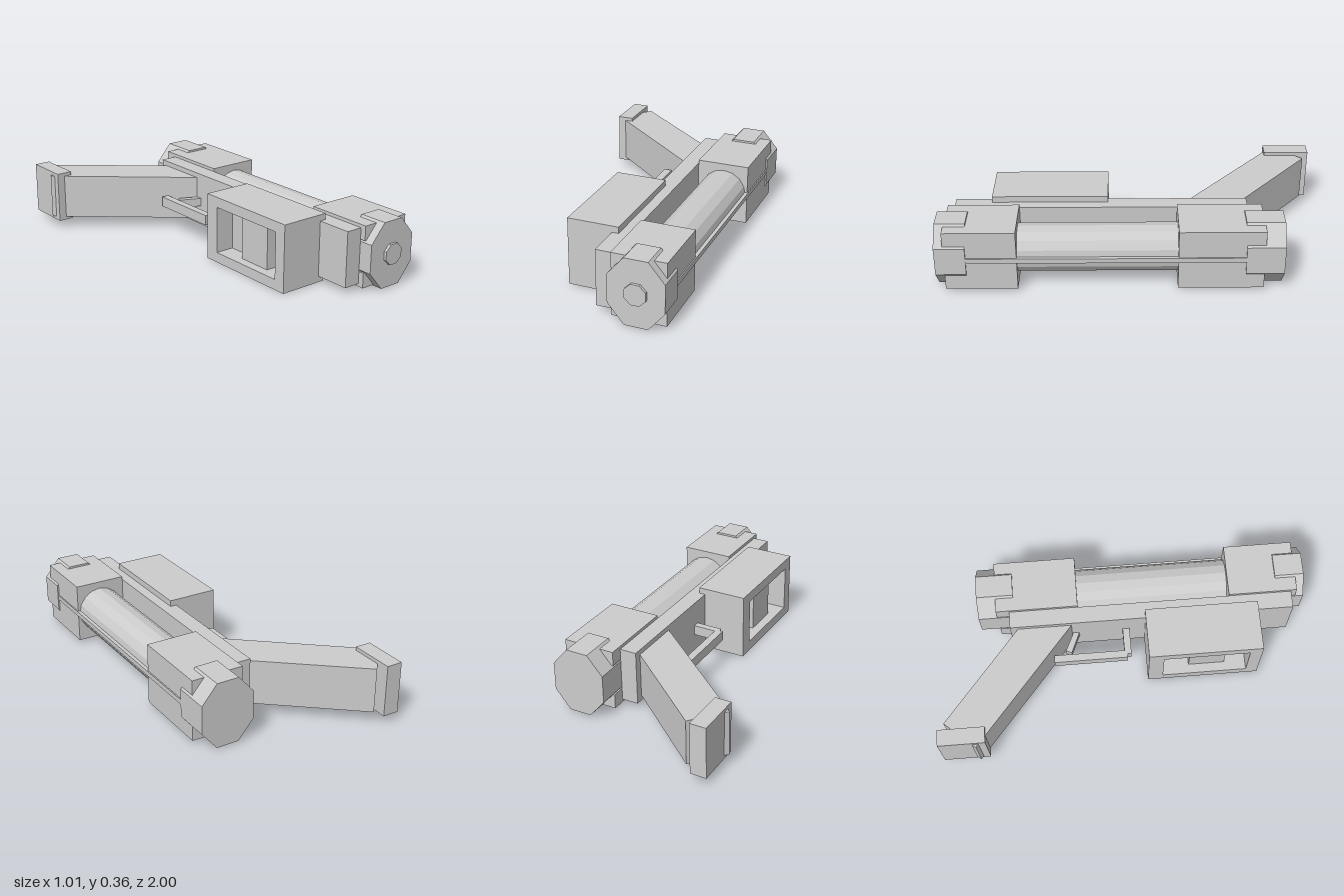
import * as THREE from 'three';

export function createModel() {
  const model = new THREE.Group();
  const grey = new THREE.MeshStandardMaterial({ color: 0xcccccc, flatShading: true });
  grey.name = 'light grey';

  const add = (name, geometry) => {
    const mesh = new THREE.Mesh(geometry, grey);
    mesh.name = name;
    model.add(mesh);
    return mesh;
  };
  // Box given by its limits on each axis
  const box = (name, x0, x1, y0, y1, z0, z1) =>
    add(name, new THREE.BoxGeometry(x1 - x0, y1 - y0, z1 - z0)
      .translate((x0 + x1) / 2, (y0 + y1) / 2, (z0 + z1) / 2));
  const shapeOf = (points) => new THREE.Shape(points.map(([a, b]) => new THREE.Vector2(a, b)));
  const extrude = (shape, depth) => new THREE.ExtrudeGeometry(shape, { depth, bevelEnabled: false });
  // Upright prism from an outline of [x, z] points
  const plan = (name, points, y0, y1) =>
    add(name, extrude(shapeOf(points.map(([x, z]) => [x, -z])), y1 - y0)
      .rotateX(-Math.PI / 2).translate(0, y0, 0));

  const CX = 0.36, CY = 0.185;

  // Long side body
  box('sideBody', 0.125, 0.215, 0.035, 0.33, -0.6, 0.91);

  // Barrel core, outer rail and muzzle
  add('barrel', new THREE.CylinderGeometry(0.125, 0.125, 0.9, 16)
    .rotateX(Math.PI / 2).translate(CX, CY, 0.17));
  box('outerRail', 0.45, 0.501, 0.174, 0.2, -0.6, 0.86);
  add('muzzle', new THREE.CylinderGeometry(0.058, 0.058, 0.06, 8)
    .rotateY(Math.PI / 8).rotateX(Math.PI / 2).translate(CX, CY, 0.97));

  // Housings, each with four corner lugs gripping an eight-sided end cap
  const capOutline = [
    [0.30, 0.01], [0.42, 0.01], [0.503, 0.11], [0.503, 0.26],
    [0.42, 0.358], [0.30, 0.358], [0.215, 0.26], [0.215, 0.11],
  ];
  const ends = [
    { side: 'front', body: [0.575, 0.835], lug: [0.835, 0.94], cap: [0.83, 0.985] },
    { side: 'rear', body: [-0.58, -0.235], lug: [-0.67, -0.58], cap: [-0.77, -0.575] },
  ];
  for (const { side, body, lug, cap } of ends) {
    box(side + 'Housing', 0.215, 0.495, 0.02, 0.347, ...body);
    for (const [x0, x1] of [[0.215, 0.29], [0.43, 0.495]]) {
      for (const [y0, y1] of [[0.02, 0.1], [0.27, 0.347]]) box(side + 'Lug', x0, x1, y0, y1, ...lug);
    }
    add(side + 'Cap', extrude(shapeOf(capOutline), cap[1] - cap[0]).translate(0, 0, cap[0]));
  }

  // Magazine housing with an open window and a block inside
  const frame = shapeOf([[0.12, 0.003], [0.72, 0.003], [0.72, 0.363], [0.12, 0.363]]);
  frame.holes.push(shapeOf([[0.2, 0.058], [0.2, 0.308], [0.655, 0.308], [0.655, 0.058]]));
  add('magazineFrame', extrude(frame, 0.105).rotateY(-Math.PI / 2).translate(-0.005, 0, 0));
  box('magazineBack', -0.005, 0.16, 0.003, 0.363, 0.12, 0.72);
  box('magazineBlock', -0.06, 0, 0.058, 0.308, 0.345, 0.54);

  // Trigger and its guard
  box('guardBar', -0.04, 0, 0.14, 0.195, -0.38, 0.015);
  box('guardPost', -0.02, 0.13, 0.14, 0.195, -0.002, 0.035);
  plan('trigger', [[0.01, -0.285], [0.025, -0.315], [0.135, -0.265], [0.135, -0.232]], 0.145, 0.19);

  // Slanted grip and its end plate
  plan('grip', [[-0.505, -0.805], [0.14, -0.262], [0.14, -0.548], [-0.365, -0.967]], 0.063, 0.303);
  box('gripEndPlate', -0.488, -0.402, 0.045, 0.322, -1, -0.755);

  return model;
}
